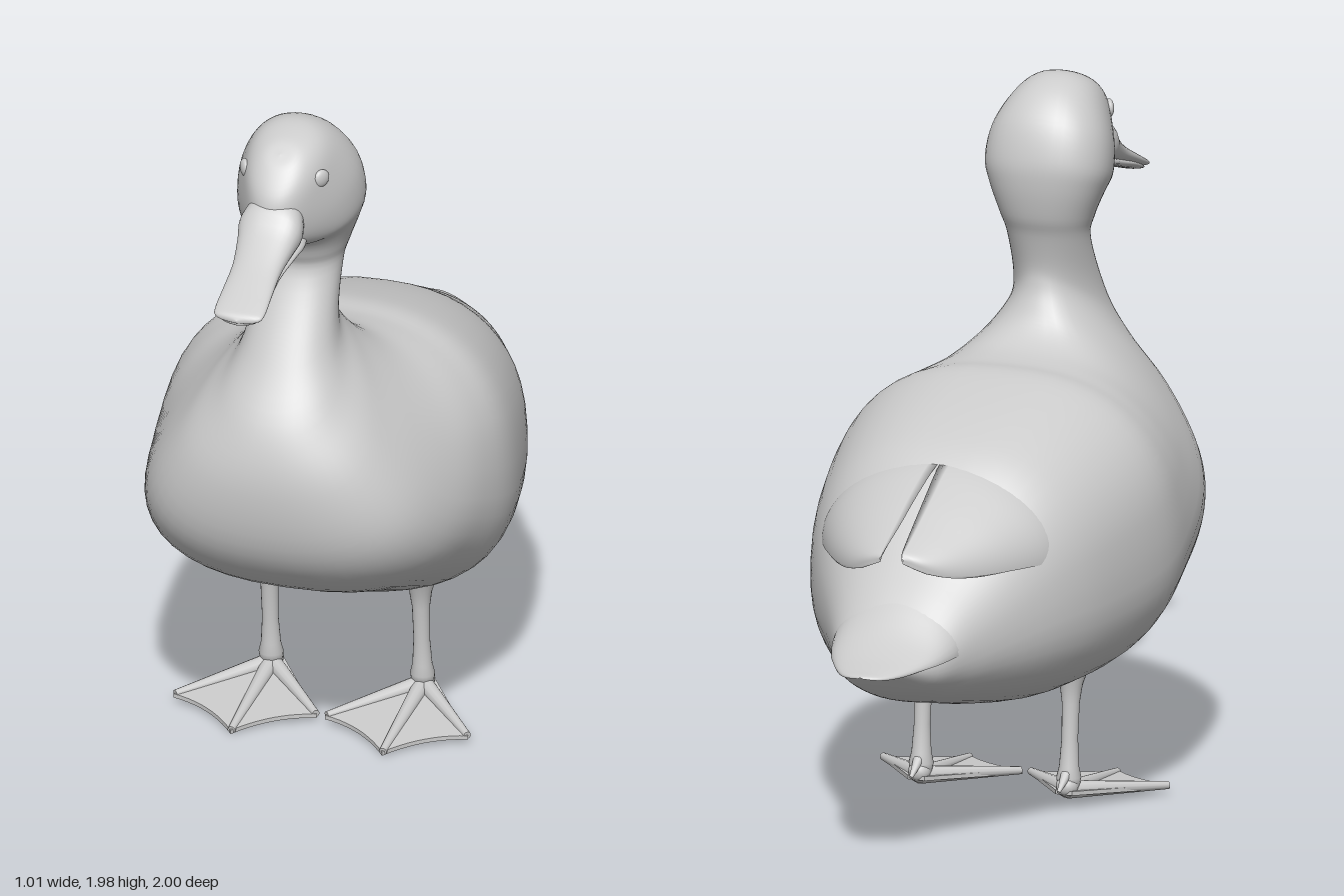
import * as THREE from 'three';

const grey = new THREE.MeshStandardMaterial({ color: 0xcccccc });
const greyDouble = new THREE.MeshStandardMaterial({ color: 0xcccccc, side: THREE.DoubleSide });

function add(parent, name, geometry, material = grey) {
  const mesh = new THREE.Mesh(geometry, material);
  mesh.name = name;
  parent.add(mesh);
  return mesh;
}

// Closed skin over a list of equally long rings of Vector3
function skin(rings, flip = false) {
  const n = rings[0].length, index = [];
  for (let i = 0; i < rings.length - 1; i++) {
    for (let j = 0; j < n; j++) {
      const a = i * n + j, b = i * n + (j + 1) % n, c = a + n, d = b + n;
      if (flip) index.push(a, c, b, b, c, d);
      else index.push(a, b, c, b, d, c);
    }
  }
  const geometry = new THREE.BufferGeometry().setFromPoints(rings.flat());
  geometry.setIndex(index);
  geometry.computeVertexNormals();
  return geometry;
}

const smooth = (points) => new THREE.CatmullRomCurve3(points, false, 'catmullrom');

// Section: [topZ, topY, bottomZ, bottomY, halfWidth, taper = 0]; wider sections are squarer
function loft(sections, squareness, steps, sides) {
  const top = smooth(sections.map((s) => new THREE.Vector3(0, s[1], s[0])));
  const bottom = smooth(sections.map((s) => new THREE.Vector3(0, s[3], s[2])));
  const form = smooth(sections.map((s) => new THREE.Vector3(s[4], s[5] ?? 0, 0)));
  const rings = [], count = (sections.length - 1) * steps;
  for (let i = 0; i <= count; i++) {
    const t = top.getPoint(i / count), b = bottom.getPoint(i / count), f = form.getPoint(i / count);
    const width = Math.max(f.x, 0), power = 2 / (2 + squareness * width);
    const ring = [];
    for (let j = 0; j < sides; j++) {
      const a = (j / sides) * Math.PI * 2;
      const bend = (v) => Math.sign(v) * Math.abs(v) ** power;
      const up = bend(Math.sin(a));
      const p = b.clone().lerp(t, (up + 1) / 2);
      p.x = width * bend(Math.cos(a)) * (1 + f.y * up);
      ring.push(p);
    }
    rings.push(ring);
  }
  return skin(rings);
}

// Arched feather layer; row: [z, topY, lowY, innerX, outerX]
function feathers(rows, side, thickness, steps = 4, arc = 20) {
  const crest = smooth(rows.map((r) => new THREE.Vector3(r[1], r[2], r[0])));
  const edges = smooth(rows.map((r) => new THREE.Vector3(r[3], r[4], 0)));
  const rings = [], count = (rows.length - 1) * steps;
  for (let i = 0; i <= count; i++) {
    const c = crest.getPoint(i / count), e = edges.getPoint(i / count);
    const out = Math.max(e.y, 0.001);
    const start = Math.asin(THREE.MathUtils.clamp(e.x / out, -1, 1));
    const ring = [];
    for (let j = 0; j < arc * 2; j++) {
      const v = j <= arc ? j / arc : 2 - j / arc;
      const a = start + (Math.PI / 2 - start) * v;
      const drop = j > arc ? thickness * Math.sin(v * Math.PI) ** 0.5 * Math.min(1, out / 0.1) : 0;
      ring.push(new THREE.Vector3(
        side * out * Math.sin(a),
        c.y + (c.x - c.y) * Math.cos(a) - drop,
        c.z));
    }
    rings.push(ring);
  }
  return skin(rings, side < 0);
}

// Tapered rod between two points
function rod(from, to, r0, r1) {
  const axis = to.clone().sub(from);
  const geometry = new THREE.CylinderGeometry(r1, r0, axis.length(), 12, 1);
  geometry.applyQuaternion(new THREE.Quaternion().setFromUnitVectors(
    new THREE.Vector3(0, 1, 0), axis.clone().normalize()));
  return geometry.translate(...from.clone().add(to).multiplyScalar(0.5).toArray());
}

function makeLeg(side) {
  const leg = new THREE.Group();
  leg.name = side > 0 ? 'leftLeg' : 'rightLeg';
  leg.position.x = side * 0.222;

  // Shank, leaning slightly forward at the top
  const profile = [[0.001, 0.05], [0.03, 0.055], [0.035, 0.09], [0.028, 0.12], [0.023, 0.2],
    [0.025, 0.3], [0.032, 0.35], [0.045, 0.39]].map(([r, y]) => new THREE.Vector2(r, y));
  const shank = new THREE.LatheGeometry(profile, 20);
  shank.applyMatrix4(new THREE.Matrix4().makeShear(0, 0, 0, 0.07, 0, 0));
  add(leg, 'shank', shank, greyDouble);

  // Webbed foot with scalloped front edge
  const web = new THREE.Shape();
  web.moveTo(-0.025, -0.03);
  web.lineTo(-0.21, 0.24);
  web.quadraticCurveTo(-0.09, 0.265, 0.005, 0.385);
  web.quadraticCurveTo(0.09, 0.265, 0.21, 0.24);
  web.lineTo(0.025, -0.03);
  web.closePath();
  const foot = new THREE.ExtrudeGeometry(web, { depth: 0.012, bevelEnabled: false, curveSegments: 10 });
  foot.rotateX(Math.PI / 2).translate(0, 0.055, 0);
  const p = foot.attributes.position;
  for (let i = 0; i < p.count; i++) p.setY(i, p.getY(i) - 0.095 * p.getZ(i));
  foot.computeVertexNormals();
  add(leg, 'web', foot);

  // Toes
  const ankle = new THREE.Vector3(0, 0.055, 0);
  for (const [x, y, z] of [[-0.206, 0.031, 0.236], [0.005, 0.016, 0.378], [0.206, 0.031, 0.236]]) {
    add(leg, 'toe', rod(ankle, new THREE.Vector3(x, y, z), 0.026, 0.011));
  }
  add(leg, 'hindToe', rod(new THREE.Vector3(0, 0.1, -0.015), new THREE.Vector3(0, 0.062, -0.07), 0.015, 0.005));
  add(leg, 'heel', new THREE.SphereGeometry(0.032, 16, 10).translate(0, 0.066, -0.005));
  return leg;
}

export function createModel() {
  const duck = new THREE.Group();
  duck.name = 'duck';

  // Rump, body, neck and head in one flowing skin
  add(duck, 'body', loft([
    [-0.89, 0.6, -0.89, 0.585, 0],
    [-0.86, 0.62, -0.86, 0.555, 0.09],
    [-0.79, 0.665, -0.79, 0.497, 0.152],
    [-0.7, 0.76, -0.7, 0.455, 0.205],
    [-0.6, 0.86, -0.6, 0.428, 0.266, -0.03],
    [-0.42, 1.06, -0.4, 0.38, 0.382, -0.06],
    [-0.26, 1.147, -0.2, 0.354, 0.45, -0.06],
    [0, 1.227, 0.09, 0.374, 0.502, -0.06],
    [0.12, 1.234, 0.36, 0.485, 0.48, -0.1],
    [0.21, 1.255, 0.6, 0.6, 0.425, -0.2],
    [0.27, 1.3, 0.735, 0.745, 0.352, -0.3],
    [0.305, 1.36, 0.775, 0.945, 0.25, -0.36],
    [0.322, 1.41, 0.74, 1.12, 0.162, -0.25],
    [0.325, 1.46, 0.64, 1.29, 0.125, -0.1],
    [0.303, 1.55, 0.515, 1.51, 0.117],
    [0.28, 1.61, 0.52, 1.585, 0.133, 0.05],
    [0.263, 1.7, 0.555, 1.64, 0.16, 0.1],
    [0.265, 1.78, 0.615, 1.66, 0.174, 0.2],
    [0.3, 1.88, 0.67, 1.695, 0.163, 0.28],
    [0.37, 1.955, 0.698, 1.76, 0.133, 0.25],
    [0.46, 1.988, 0.69, 1.83, 0.1, 0.15],
    [0.55, 1.97, 0.645, 1.9, 0.055],
    [0.605, 1.937, 0.605, 1.937, 0],
  ], 1, 5, 48));

  // Bill
  add(duck, 'upperBill', loft([
    [0.56, 1.83, 0.56, 1.68, 0.05],
    [0.64, 1.835, 0.62, 1.675, 0.078],
    [0.695, 1.81, 0.68, 1.675, 0.092],
    [0.74, 1.762, 0.73, 1.668, 0.083],
    [0.82, 1.708, 0.81, 1.648, 0.071],
    [0.9, 1.665, 0.9, 1.622, 0.072],
    [0.965, 1.632, 0.965, 1.602, 0.073],
    [0.99, 1.618, 0.99, 1.595, 0.06],
    [1, 1.604, 1, 1.597, 0],
  ], 4, 4, 32));
  add(duck, 'lowerBill', loft([
    [0.55, 1.72, 0.55, 1.66, 0.06],
    [0.64, 1.72, 0.63, 1.652, 0.085],
    [0.7, 1.7, 0.7, 1.655, 0.08],
    [0.8, 1.67, 0.8, 1.634, 0.064],
    [0.9, 1.64, 0.9, 1.61, 0.064],
    [0.96, 1.615, 0.96, 1.593, 0.062],
    [0.985, 1.605, 0.985, 1.586, 0.045],
    [0.995, 1.597, 0.995, 1.588, 0],
  ], 0, 4, 32));

  // Tail fan
  add(duck, 'tail', feathers([
    [-0.62, 0.8, 0.63, -0.17, 0.17],
    [-0.7, 0.755, 0.612, -0.192, 0.192],
    [-0.8, 0.67, 0.6, -0.167, 0.167],
    [-0.88, 0.627, 0.592, -0.127, 0.127],
    [-0.95, 0.605, 0.586, -0.082, 0.082],
    [-0.985, 0.597, 0.586, -0.045, 0.045],
    [-1, 0.592, 0.588, 0, 0],
  ], 1, 0.02), greyDouble);

  for (const side of [1, -1]) {
    // Folded wing, its tip overhanging the rump
    add(duck, side > 0 ? 'leftWing' : 'rightWing', feathers([
      [-0.24, 1.08, 0.8, 0, 0.37],
      [-0.34, 1.08, 0.81, 0, 0.36],
      [-0.43, 1.06, 0.82, 0.004, 0.345],
      [-0.54, 1.007, 0.82, 0.012, 0.285],
      [-0.64, 0.953, 0.82, 0.018, 0.212],
      [-0.71, 0.917, 0.832, 0.023, 0.146],
      [-0.75, 0.897, 0.858, 0.027, 0.085],
      [-0.762, 0.884, 0.876, 0.03, 0.035],
    ], side, 0.035), greyDouble);

    // Eye
    const eye = add(duck, side > 0 ? 'leftEye' : 'rightEye', new THREE.SphereGeometry(0.026, 20, 14));
    eye.position.set(side * 0.112, 1.868, 0.578);
    eye.scale.set(0.5, 1, 1);
    eye.rotation.y = -side * 0.6;

    duck.add(makeLeg(side));
  }
  return duck;
}
